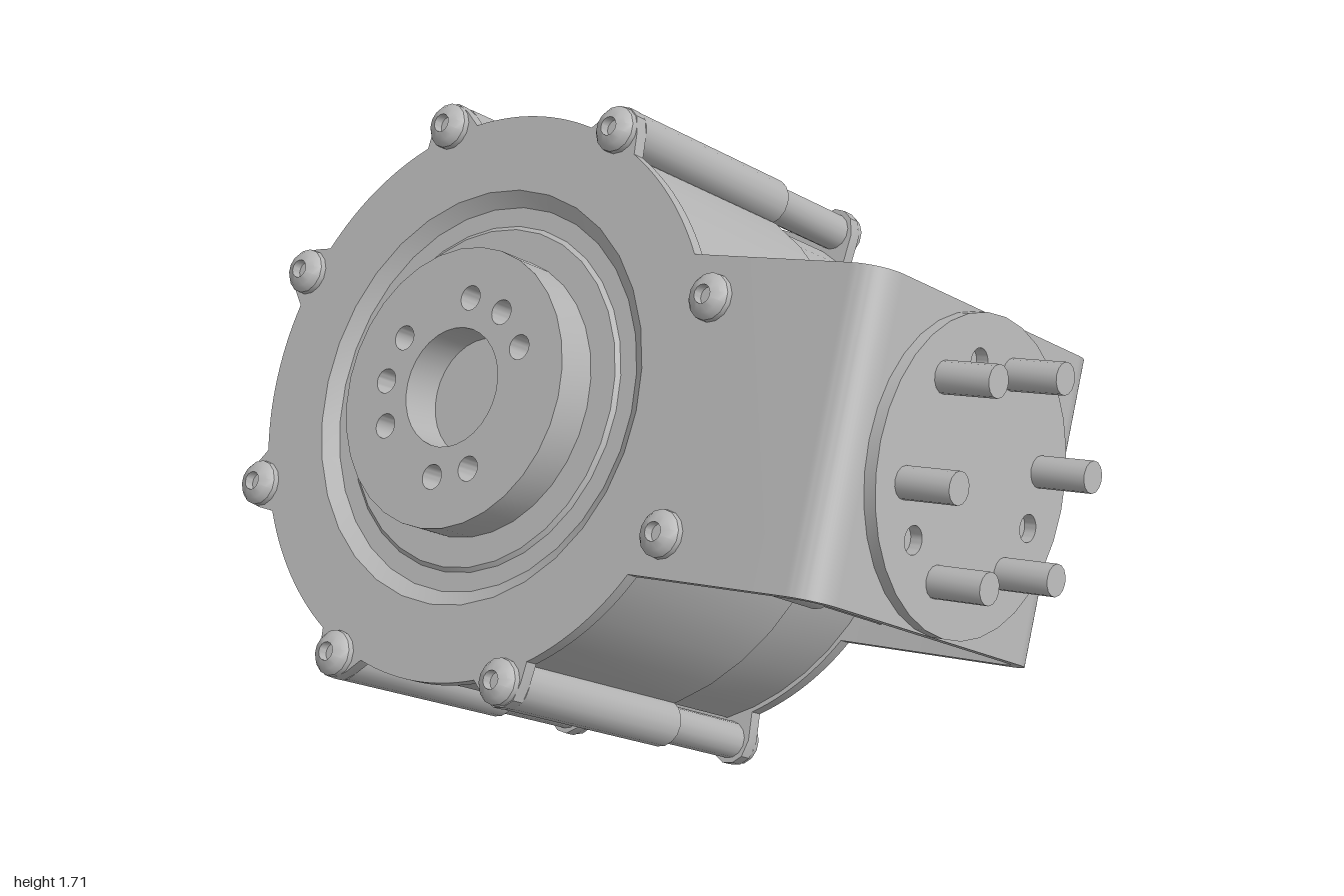
import * as THREE from 'three';
import { toCreasedNormals } from 'three/addons/utils/BufferGeometryUtils.js';

const metal = new THREE.MeshStandardMaterial({ color: 0xb6b6b6 });
metal.name = 'grey metal';

const TAU = Math.PI * 2;
const rad = (d) => d * Math.PI / 180;
const polar = (r, a) => new THREE.Vector2(r * Math.cos(a), r * Math.sin(a));

// Working frame: x runs along the bracket, z along the motor axis, z = 0 at the hub face
const FRONT = -0.083, BACK = -0.955, PLATE = 0.032, STEP = -0.66, END = 1.075;
const screwAngles = Array.from({ length: 8 }, (_, i) => rad(22.5 + 45 * i));

function add(parent, name, geo, x = 0, y = 0, z = 0) {
  const m = new THREE.Mesh(toCreasedNormals(geo, 0.6), metal);
  m.name = name;
  m.position.set(x, y, z);
  parent.add(m);
  return m;
}

function extrude(shape, depth, curveSegments = 16) {
  return new THREE.ExtrudeGeometry(shape, { depth, bevelEnabled: false, curveSegments });
}

function circlePath(x, y, r) {
  return new THREE.Path().absarc(x, y, r, 0, TAU, true);
}

function lathe(points, segments = 32) {
  return new THREE.LatheGeometry(points.map(([r, y]) => new THREE.Vector2(r, y)), segments);
}

// Round outline with a small lobe at every screw
function lobedShape(base) {
  const pts = [];
  for (let i = 0; i < 160; i++) {
    const a = i / 160 * TAU;
    let r = base;
    for (const s of screwAngles) {
      const d = Math.atan2(Math.sin(a - s), Math.cos(a - s));
      const off = 0.69 * Math.sin(d);
      if (Math.cos(d) > 0 && Math.abs(off) < 0.058) {
        r = Math.max(r, 0.69 * Math.cos(d) + Math.sqrt(0.058 ** 2 - off ** 2));
      }
    }
    pts.push(polar(r, a));
  }
  return new THREE.Shape(pts);
}

// Domed screw head with a socket, pointing along +y
const headGeometry = () => lathe([
  [0.055, 0], [0.054, 0.014], [0.042, 0.028], [0.022, 0.036], [0.022, 0.012], [0, 0.012]], 14);

export function createModel() {
  const model = new THREE.Group();
  model.name = 'actuatorWithBracket';
  const unit = new THREE.Group();
  unit.name = 'actuator';
  unit.position.set(-0.27, 1.105, 0.475);
  unit.rotation.set(-0.5, 0, 0.181);
  model.add(unit);

  // Front cover with a round recess
  const cover = lobedShape(0.668);
  cover.holes.push(circlePath(0, 0, 0.49));
  add(unit, 'frontCover', extrude(cover, PLATE), 0, 0, FRONT - PLATE);
  add(unit, 'coverRecess', lathe([
    [0.49, FRONT], [0.455, -0.108], [0.41, -0.108], [0.4, -0.1], [0, -0.1]]).rotateX(Math.PI / 2));

  // Output hub with a bore and bolt holes
  const hub = new THREE.Shape().absarc(0, 0, 0.33, 0, TAU, false);
  hub.holes.push(circlePath(0, 0, 0.14));
  for (const d of [30, 60, 90, 150, 180, 210, 270, 300]) {
    const p = polar(0.21, rad(d));
    hub.holes.push(circlePath(p.x, p.y, 0.029));
  }
  add(unit, 'outputHub', extrude(hub, 0.11), 0, 0, -0.11);

  // Housing: full front stage, narrower rear stage with three pockets
  const frontLen = FRONT - PLATE - STEP;
  add(unit, 'frontHousing', new THREE.CylinderGeometry(0.655, 0.655, frontLen, 40)
    .rotateX(Math.PI / 2), 0, 0, STEP + frontLen / 2);
  const rear = [];
  for (let i = 0; i < 8; i++) {
    const r = [2, 4, 6].includes(i) ? 0.56 : 0.635;
    for (let k = 0; k <= 6; k++) rear.push(polar(r, rad(45 * i - 22.4 + 44.8 * k / 6)));
  }
  add(unit, 'rearHousing', extrude(new THREE.Shape(rear), STEP - BACK), 0, 0, BACK);
  add(unit, 'rearFlange', extrude(lobedShape(0.645), PLATE), 0, 0, BACK);
  add(unit, 'rearCap', lathe([
    [0, -1.2], [0.405, -1.2], [0.41, -1.19], [0.41, -1.03], [0.515, -1.03], [0.545, BACK]])
    .rotateX(Math.PI / 2));

  // Screw tubes, rear bolts and heads around the housing
  for (const a of screwAngles) {
    const p = polar(0.69, a);
    add(unit, 'screwTube', new THREE.CylinderGeometry(0.057, 0.057, frontLen, 16)
      .rotateX(Math.PI / 2), p.x, p.y, STEP + frontLen / 2);
    add(unit, 'rearBolt', new THREE.CylinderGeometry(0.045, 0.045, STEP - BACK, 14)
      .rotateX(Math.PI / 2), p.x, p.y, (STEP + BACK) / 2);
    add(unit, 'frontScrewHead', headGeometry().rotateX(Math.PI / 2), p.x, p.y, FRONT);
    add(unit, 'rearScrewHead', headGeometry().rotateX(-Math.PI / 2), p.x, p.y, BACK);
  }

  // U-shaped bracket with rounded bends
  const a = -FRONT, b = -BACK, t = PLATE, R = 0.08, r = R - t, x0 = 0.52;
  const u = new THREE.Shape();
  u.moveTo(x0, a);
  u.lineTo(END - R, a);
  u.absarc(END - R, a + R, R, -Math.PI / 2, 0, false);
  u.lineTo(END, b - R);
  u.absarc(END - R, b - R, R, 0, Math.PI / 2, false);
  u.lineTo(x0, b);
  u.lineTo(x0, b - t);
  u.lineTo(END - R, b - t);
  u.absarc(END - R, b - R, r, Math.PI / 2, 0, true);
  u.lineTo(END - t, a + R);
  u.absarc(END - R, a + R, r, 0, -Math.PI / 2, true);
  u.lineTo(x0, a + t);
  add(unit, 'bracket', extrude(u, 0.72, 8).rotateX(-Math.PI / 2), 0, -0.36, 0);

  // Round mounting disc on the bracket end
  const midZ = (FRONT + BACK) / 2;
  const disc = new THREE.Shape().absarc(0, 0, 0.36, 0, TAU, false);
  for (const d of [75, 195, 315]) {
    const p = polar(0.25, rad(d));
    disc.holes.push(circlePath(-p.x, p.y, 0.032));
  }
  add(unit, 'mountingDisc', extrude(disc, 0.03).rotateY(Math.PI / 2), END, 0, midZ);

  // Mounting pins outside, their heads inside the bracket
  for (let i = 0; i < 6; i++) {
    const p = polar(0.255, rad(45 + 60 * i));
    add(unit, 'mountingPin', new THREE.CylinderGeometry(0.037, 0.037, 0.2, 14)
      .rotateZ(-Math.PI / 2), 1.145, p.y, midZ + p.x);
    add(unit, 'pinHead', headGeometry().rotateZ(Math.PI / 2), END - t, p.y, midZ + p.x);
  }
  return model;
}
